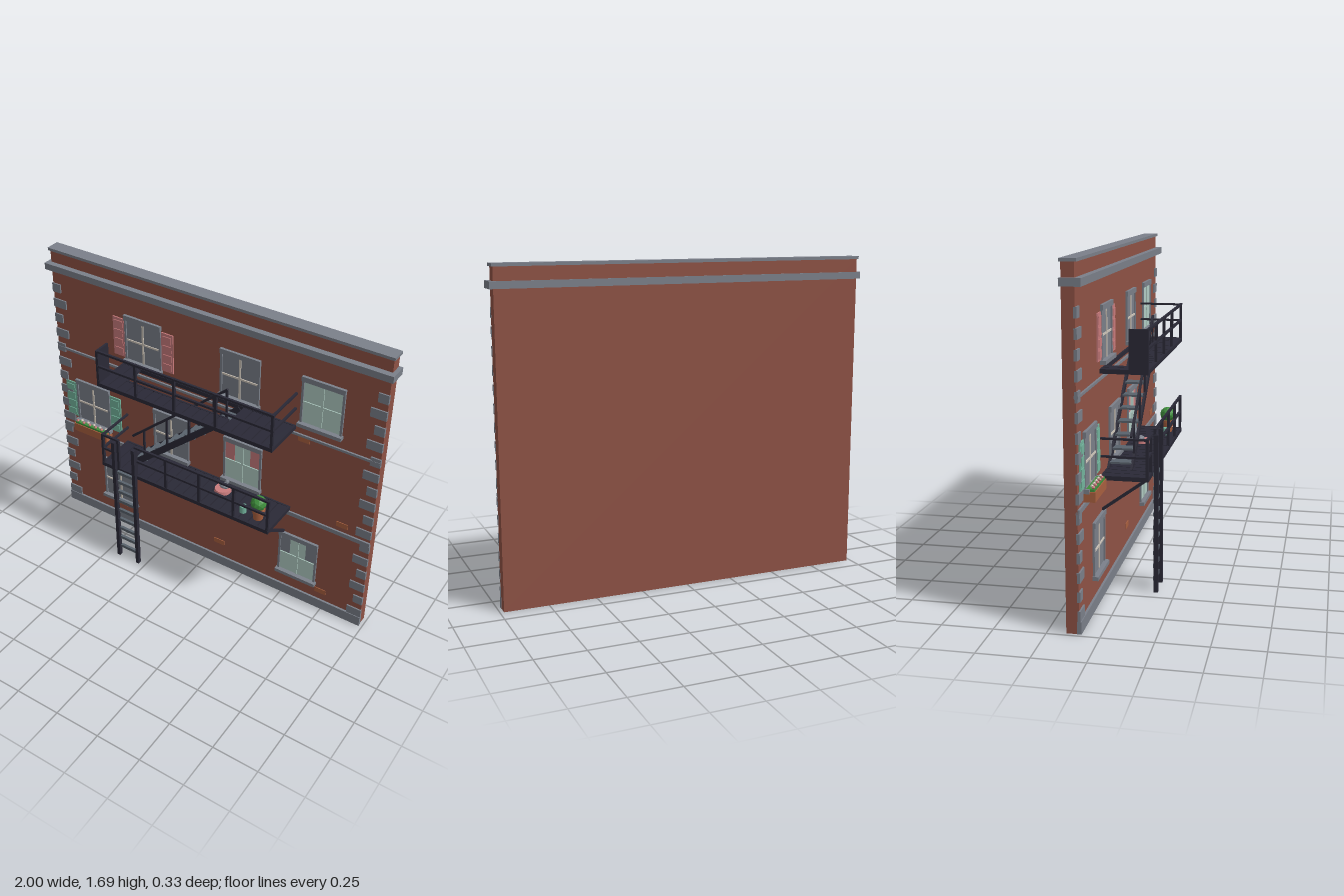
import * as THREE from 'three';

const mat = (name, color) => {
  const m = new THREE.MeshStandardMaterial({ color });
  m.name = name;
  return m;
};

export function createModel() {
  const brick = mat('brick', 0x8f5245), stone = mat('stone', 0x7b808a), iron = mat('iron', 0x2a2936);
  const steel = mat('steel', 0x59626c), pale = mat('litGlass', 0xb2cec5), cream = mat('cream', 0xcfc6ba);
  const pink = mat('pink', 0xc97b7c), mint = mat('mint', 0x74b59e), clay = mat('terracotta', 0xa9603f);
  const leaf = mat('leaf', 0x3f8f3c);
  const root = new THREE.Group();
  root.name = 'fireEscapeFacade';

  const group = (name) => {
    const g = new THREE.Group();
    g.name = name;
    root.add(g);
    return g;
  };
  const mesh = (parent, name, geo, m, x = 0, y = 0, z = 0) => {
    const o = new THREE.Mesh(geo, m);
    o.name = name;
    o.position.set(x, y, z);
    parent.add(o);
    return o;
  };
  // Box given by its limits on each axis
  const box = (parent, name, m, x0, x1, y0, y1, z0, z1) =>
    mesh(parent, name, new THREE.BoxGeometry(x1 - x0, y1 - y0, z1 - z0), m,
      (x0 + x1) / 2, (y0 + y1) / 2, (z0 + z1) / 2);
  // Square bar between two points
  const bar = (parent, name, m, a, b, w, d = w) => {
    const p = new THREE.Vector3(...a), q = new THREE.Vector3(...b);
    const o = mesh(parent, name, new THREE.BoxGeometry(w, p.distanceTo(q), d), m);
    o.position.copy(p).add(q).multiplyScalar(0.5);
    o.quaternion.setFromUnitVectors(new THREE.Vector3(0, 1, 0), q.sub(p).normalize());
    return o;
  };

  // Wall and stone trim
  const F = -0.1;
  const wall = group('building');
  box(wall, 'wall', brick, -0.98, 0.98, 0, 1.675, -0.16, F);
  box(wall, 'plinth', stone, -0.982, 0.982, 0, 0.06, F - 0.01, -0.088);
  box(wall, 'cornice', stone, -1, 1, 1.572, 1.608, -0.166, -0.068);
  box(wall, 'parapetCap', stone, -0.988, 0.988, 1.675, 1.69, -0.166, -0.09);
  for (const [y0, y1] of [[0.563, 0.587], [1.087, 1.1]])
    box(wall, 'stringCourse', stone, -0.98, 0.98, y0, y1, F - 0.01, -0.09);
  for (let i = 0; i < 16; i++) {
    const w = i % 2 ? 0.053 : 0.083, y = 0.06 + i * 0.0917;
    for (const s of [-1, 1])
      mesh(wall, 'quoin', new THREE.BoxGeometry(w, 0.05, 0.015), stone, s * (0.982 - w / 2), y + 0.025, -0.0995);
  }
  for (const [x, y] of [[0.57, 1.07], [0.82, 0.63], [0.735, 0.12], [0.09, 0.16], [-0.585, 0.135]])
    box(wall, 'oddBrick', clay, x - 0.033, x + 0.033, y - 0.015, y + 0.015, F - 0.002, F + 0.004);

  // Windows: x centre, sill bottom, lit or not, curtain material
  const windows = [
    [-0.395, 1.155, false], [0.195, 1.155, false], [0.655, 1.155, true],
    [-0.755, 0.63, false], [-0.225, 0.63, false], [0.225, 0.63, true, pink],
    [-0.59, 0.15, false], [0.585, 0.15, true, stone],
  ];
  for (const [x, y, lit, curtain] of windows) {
    const g = group('window'), b = y + 0.02, t = y + 0.257;
    box(g, 'glass', lit ? pale : stone, x - 0.11, x + 0.11, b, t, F - 0.005, F + 0.003);
    box(g, 'sill', stone, x - 0.121, x + 0.121, y, b, F - 0.005, -0.072);
    box(g, 'lintel', stone, x - 0.116, x + 0.116, t, t + 0.027, F - 0.005, -0.085);
    for (const s of [-1, 1]) {
      box(g, 'jamb', stone, x + s * 0.109 - 0.006, x + s * 0.109 + 0.006, b, t, F - 0.005, -0.09);
      if (curtain) {
        const c = x + s * 0.075;
        box(g, 'curtain', curtain, c - 0.028, c + 0.028, t - 0.11, t, F, F + 0.005);
      }
    }
    const bars = lit ? pale : cream;
    box(g, 'mullion', bars, x - 0.005, x + 0.005, b, t, F, F + 0.008);
    box(g, 'glazingBar', bars, x - 0.103, x + 0.103, (b + t) / 2 - 0.005, (b + t) / 2 + 0.005, F, F + 0.008);
  }

  // Louvred shutters
  for (const [x, y, m] of [[-0.395, 1.18, pink], [-0.755, 0.655, mint]]) {
    const g = group('shutters');
    for (const s of [-1, 1]) {
      const c = x + s * 0.154;
      box(g, 'shutter', m, c - 0.036, c + 0.036, y, y + 0.228, F - 0.005, -0.093);
      for (let i = 0; i < 4; i++)
        box(g, 'shutterPanel', m, c - 0.026, c + 0.026, y + 0.012 + i * 0.054, y + 0.05 + i * 0.054, F, -0.089);
    }
  }

  // Flower box
  const fb = group('flowerBox');
  box(fb, 'planter', clay, -0.87, -0.64, 0.59, 0.638, F, -0.045);
  box(fb, 'greenery', leaf, -0.862, -0.648, 0.638, 0.65, -0.09, -0.05);
  for (let i = 0; i < 10; i++)
    mesh(fb, 'flower', new THREE.IcosahedronGeometry(0.009, 0), i % 2 ? cream : pink,
      -0.85 + i * 0.0212, 0.655, i % 2 ? -0.07 : -0.058);

  // Slatted decks; the upper one has an opening over the stair
  const deck = (name, y, hole) => {
    const g = group(name);
    box(g, 'frontBeam', iron, -0.53, 0.52, y, y + 0.022, 0.122, 0.135);
    box(g, 'wallBeam', iron, -0.53, 0.52, y, y + 0.022, F, -0.09);
    for (const x of [-0.53, 0.508]) box(g, 'endBeam', iron, x, x + 0.012, y, y + 0.022, F, 0.13);
    if (hole) box(g, 'openingBeam', iron, -0.41, 0.2, y, y + 0.022, 0.03, 0.04);
    for (let i = 0; i < 18; i++) {
      const x = -0.522 + i * 0.0575, open = hole && x > -0.42 && x < 0.17;
      box(g, 'slat', iron, x, x + 0.052, y + 0.008, y + 0.02, open ? 0.035 : F, 0.128);
    }
    return g;
  };
  const rails = (g, x0, x1, ys) => ys.forEach((y) => box(g, 'rail', iron, x0, x1, y - 0.006, y + 0.006, 0.121, 0.133));
  const endRails = (g, x, ys) => ys.forEach((y) => box(g, 'endRail', iron, x - 0.006, x + 0.006, y - 0.005, y + 0.005, F, 0.13));
  const posts = (g, xs, y0, y1) => xs.forEach((x) => box(g, 'post', iron, x - 0.007, x + 0.007, y0, y1, 0.12, 0.134));

  const low = deck('lowerPlatform', 0.595, false);
  rails(low, -0.53, -0.42, [0.8, 0.712]);
  rails(low, -0.3, 0.52, [0.8, 0.712]);
  endRails(low, -0.522, [0.8, 0.712]);
  posts(low, [-0.522, -0.42, -0.305, -0.11, 0.1, 0.31, 0.512], 0.6, 0.806);
  for (const x of [-0.495, 0.49]) bar(low, 'bracket', iron, [x, 0.6, 0.125], [x, 0.437, F], 0.014);

  const up = deck('upperPlatform', 1.116, true);
  rails(up, -0.53, 0.52, [1.325, 1.237]);
  endRails(up, 0.512, [1.325, 1.237]);
  posts(up, [-0.522, -0.285, -0.05, 0.195, 0.512], 1.12, 1.331);
  box(up, 'endPanel', iron, -0.53, -0.518, 1.13, 1.331, 0.04, 0.135);

  // Stair between the platforms
  const stair = group('stair');
  for (const z of [0.024, -0.092]) bar(stair, 'stringer', iron, [-0.385, 0.605, z], [0.205, 1.12, z], 0.034, 0.012);
  for (let i = 0; i < 9; i++) {
    const x = -0.345 + i * 0.063, y = 0.64 + i * 0.055;
    box(stair, 'tread', steel, x - 0.031, x + 0.031, y - 0.005, y + 0.005, -0.088, 0.02);
  }
  bar(stair, 'handrail', iron, [-0.395, 0.78, 0.024], [0.2, 1.3, 0.024], 0.012);
  for (const x of [-0.32, -0.17, -0.03, 0.12, 0.195]) {
    const y = 0.61 + (x + 0.385) * 0.873;
    box(stair, 'baluster', iron, x - 0.005, x + 0.005, y, y + 0.178, 0.019, 0.029);
  }

  // Drop ladder
  const ladder = group('ladder');
  for (const x of [-0.428, -0.297]) box(ladder, 'ladderRail', iron, x - 0.01, x + 0.01, 0, 0.805, 0.145, 0.166);
  for (let i = 0; i < 9; i++)
    box(ladder, 'rung', steel, -0.42, -0.305, 0.055 + i * 0.067, 0.073 + i * 0.067, 0.138, 0.153);

  // Potted bush, can and cushion with a sleeping cat
  const items = group('platformItems');
  mesh(items, 'pot', new THREE.CylinderGeometry(0.033, 0.026, 0.06, 10), clay, 0.425, 0.645, 0.07);
  mesh(items, 'potRim', new THREE.CylinderGeometry(0.037, 0.037, 0.013, 10), clay, 0.425, 0.676, 0.07);
  const leafFlat = leaf;
  leafFlat.flatShading = true;
  mesh(items, 'bush', new THREE.IcosahedronGeometry(0.042, 1), leafFlat, 0.425, 0.714, 0.07);
  mesh(items, 'can', new THREE.CylinderGeometry(0.019, 0.019, 0.04, 10), mint, 0.335, 0.636, 0.07);
  mesh(items, 'cushion', new THREE.CylinderGeometry(0.043, 0.047, 0.018, 14), pink, 0.155, 0.624, -0.02);
  mesh(items, 'catBody', new THREE.SphereGeometry(0.025, 10, 8), stone, 0.155, 0.638, -0.035).scale.set(1.2, 0.55, 0.9);
  mesh(items, 'catHead', new THREE.SphereGeometry(0.013, 8, 6), stone, 0.155, 0.645, -0.062);

  return root;
}
